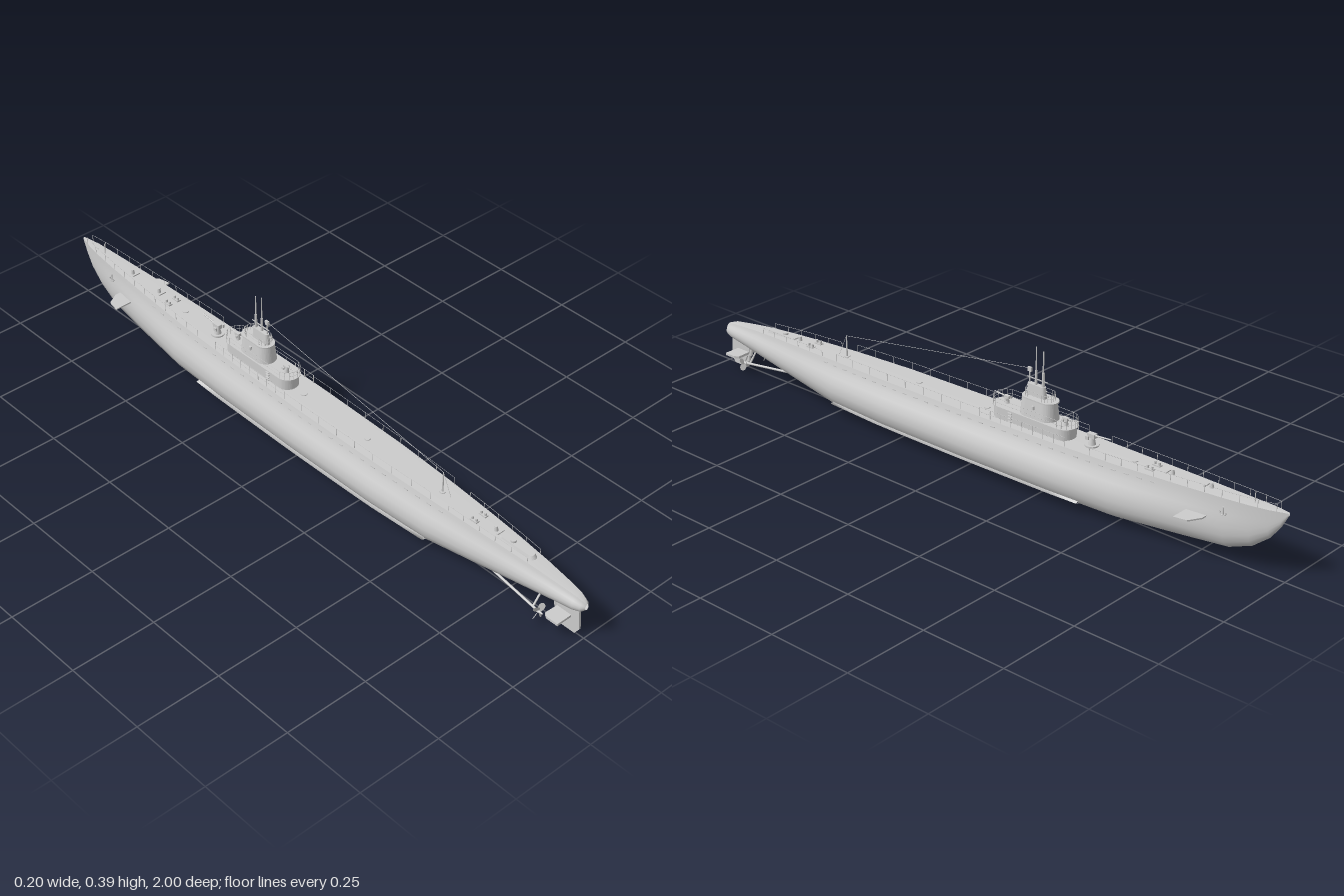
import * as THREE from 'three';
import { mergeGeometries } from 'three/addons/utils/BufferGeometryUtils.js';

const mat = new THREE.MeshStandardMaterial({ color: 0xcccccc, side: THREE.DoubleSide });
const V = (x, y, z) => new THREE.Vector3(x, y, z);

// Hull stations from bow to stern: z, keel height, deck height, half beam, half deck width
const stations = [
  [-1, .183, .19, .003, .003], [-.98, .145, .189, .008, .008], [-.95, .105, .187, .015, .015],
  [-.9, .065, .184, .023, .021], [-.83, .036, .181, .034, .027], [-.7, .023, .177, .052, .036],
  [-.5, .005, .171, .074, .047], [-.3, .004, .168, .083, .053], [0, .004, .164, .087, .056],
  [.3, .004, .16, .084, .053], [.5, .007, .156, .073, .045], [.65, .03, .151, .058, .037],
  [.75, .046, .147, .048, .03], [.85, .062, .141, .038, .022], [.92, .073, .134, .03, .016],
  [.97, .079, .128, .023, .011], [.99, .085, .121, .017, .007], [1, .095, .113, .006, .002]];
const lower = [[0, 0], [.42, .06], [.78, .16], [.94, .3], [1, .45]];         // beam share, height share
const upper = [[.15, .6], [.45, .72], [.72, .82], [.88, .91], [1, 1]];       // blend to deck width, height share

function station(z) {
  let i = 1;
  while (i < stations.length - 1 && stations[i][0] < z) i++;
  const a = stations[i - 1], b = stations[i], t = (z - a[0]) / (b[0] - a[0]);
  return a.map((v, k) => v + (b[k] - v) * t);
}
const deckY = z => station(z)[2];
const deckW = z => station(z)[4];

// Surface through rows of points
function loft(rows) {
  const n = rows[0].length, idx = [];
  for (let j = 0; j < rows.length - 1; j++) for (let i = 0; i < n - 1; i++) {
    const a = j * n + i;
    idx.push(a, a + n, a + 1, a + 1, a + n, a + n + 1);
  }
  const g = new THREE.BufferGeometry().setFromPoints(rows.flat());
  g.setIndex(idx);
  g.computeVertexNormals();
  return g;
}

function rodGeo(a, b, r = .001, r2 = r, sides = 5) {
  const d = b.clone().sub(a);
  const g = new THREE.CylinderGeometry(r2, r, d.length(), sides);
  g.applyQuaternion(new THREE.Quaternion().setFromUnitVectors(V(0, 1, 0), d.normalize()));
  return g.translate((a.x + b.x) / 2, (a.y + b.y) / 2, (a.z + b.z) / 2);
}

// Outline with round ends, shape y is -z
function stadium(hw, z0, z1) {
  const s = new THREE.Shape();
  s.absarc(0, -(z0 + hw), hw, 0, Math.PI);
  s.absarc(0, -(z1 - hw), hw, Math.PI, Math.PI * 2);
  s.closePath();
  return s;
}

export function createModel() {
  const group = new THREE.Group();
  const add = (name, geo) => {
    const m = new THREE.Mesh(geo, mat);
    m.name = name;
    group.add(m);
    return m;
  };
  const rod = (name, a, b, r, r2, sides) => add(name, rodGeo(a, b, r, r2, sides));
  const box = (name, w, h, d, x, y, z) => add(name, new THREE.BoxGeometry(w, h, d).translate(x, y, z));
  const drum = (name, r, h, x, y, z, r2 = r) => add(name, new THREE.CylinderGeometry(r2, r, h, 16).translate(x, y, z));

  // Hull skin and deck
  add('hull', loft(stations.map(([z, k, y, w, d]) => {
    const half = [...lower.map(([u, v]) => [u * w, v]), ...upper.map(([f, v]) => [w + (d - w) * f, v])]
      .map(([x, v]) => [x, k + (y - k) * v]);
    return [...half.slice().reverse().map(p => V(p[0], p[1], z)), ...half.slice(1).map(p => V(-p[0], p[1], z))];
  })));
  add('deck', loft(stations.map(([z, , y, , d]) => [V(-d, y, z), V(0, y + .001, z), V(d, y, z)])));

  // Tower blocks, each with an optional taper
  function block(name, hw, z0, z1, y0, y1, taper = 1) {
    const g = new THREE.ExtrudeGeometry(stadium(hw, z0, z1), { depth: y1 - y0, bevelEnabled: false, curveSegments: 12 });
    g.rotateX(-Math.PI / 2).translate(0, y0, 0);
    const p = g.attributes.position, zc = (z0 + z1) / 2;
    for (let i = 0; i < p.count; i++) if (p.getY(i) > (y0 + y1) / 2) {
      p.setX(i, p.getX(i) * taper);
      p.setZ(i, zc + (p.getZ(i) - zc) * (taper + 1) / 2);
    }
    g.computeVertexNormals();
    return add(name, g);
  }
  block('towerBase', .032, -.33, -.065, .16, .198);
  block('gunPlatform', .035, -.335, -.06, .198, .201);
  block('tower', .031, -.272, -.155, .2, .252, .82);
  block('bridgeRim', .027, -.272, -.16, .249, .253);
  block('periscopeHousing', .009, -.235, -.17, .25, .285, .8);

  // Guard rails: posts and wires along a path of points
  function rail(name, pts, h, wires = 2, every = 1) {
    const parts = [];
    const up = (p, t) => V(p.x, p.y + h * t, p.z);
    pts.forEach((p, i) => {
      if (i % every === 0) parts.push(rodGeo(p, up(p, 1), .0008));
      if (i) for (let k = 1; k <= wires; k++) parts.push(rodGeo(up(pts[i - 1], k / wires), up(p, k / wires), .0006, .0006, 4));
    });
    add(name, mergeGeometries(parts));
  }
  const ring = (hw, z0, z1, y) => stadium(hw, z0, z1).getPoints(8).map(p => V(p.x, y, -p.y));
  const closed = pts => [...pts, pts[0]];
  rail('platformRail', closed(ring(.034, -.333, -.062, .2)), .024, 2, 2);
  rail('bridgeRail', closed(ring(.022, -.26, -.17, .252)), .02, 2, 2);
  for (const s of [1, -1]) {
    const along = (z0, z1, n) => Array.from({ length: n + 1 }, (_, i) => {
      const z = z0 + (z1 - z0) * i / n;
      return V(s * deckW(z) * .95, deckY(z), z);
    });
    rail('foredeckRail', along(-.97, -.42, 11), .02, 1);
    rail('towerSideRail', along(-.34, -.05, 8), .026);
    rail('afterdeckRail', along(-.05, .5, 8), .022, 1);
    rail('sternRail', along(.56, .82, 5), .016, 1);
  }

  // Periscopes, radar mast and aerial
  for (const [z, h] of [[-.2, .392], [-.224, .385]]) {
    rod('periscopeTube', V(0, .25, z), V(0, .325, z), .0045, .0035, 10);
    rod('periscope', V(0, .32, z), V(0, h, z), .0022, .0015, 8);
  }
  rod('radarMast', V(0, .25, -.178), V(0, .33, -.178), .002);
  box('radarAerial', .006, .012, .012, 0, .322, -.178);
  for (const y of [.275, .3]) rod('mastBrace', V(0, y, -.17), V(0, y, -.24), .0015);
  rod('aerialPost', V(0, .155, .5), V(0, .22, .5), .0028, .0015);
  rod('aerialWire', V(0, .325, -.178), V(0, .22, .5), .0006);
  rod('aerialStay', V(0, .22, .5), V(0, .156, .53), .0006);
  rod('flagStaff', V(0, .184, -.9), V(0, .217, -.9), .0013);

  // Guns: pedestal, cradle, barrel; dir is -1 for forward
  function gun(name, y, z, dir, size) {
    drum(name + 'Pedestal', .011 * size, .022 * size, 0, y + .011 * size, z, .006 * size);
    box(name + 'Cradle', .014 * size, .012 * size, .024 * size, 0, y + .026 * size, z);
    rod(name + 'Barrel', V(0, y + .027 * size, z), V(0, y + .033 * size, z + dir * .062 * size), .003 * size, .0018 * size, 8);
    for (const s of [1, -1]) box(name + 'Seat', .005 * size, .01 * size, .01 * size, s * .013 * size, y + .022 * size, z - dir * .006 * size);
  }
  drum('deckGunMount', .019, .006, 0, deckY(-.39) + .002, -.39);
  gun('deckGun', deckY(-.39) + .004, -.39, -1, 1);
  gun('forwardGun', .2, -.302, -1, .7);
  gun('aftGun', .2, -.1, 1, .7);

  // Deck gear: hatches, capstans, winches and stern casing
  for (const z of [-.53, -.03, .22, .5]) drum('deckHatch', .009, .004, 0, deckY(z) + .001, z);
  for (const [z, x] of [[-.59, .015], [-.59, -.015], [.63, .016], [.63, -.016]]) {
    box('bollardBase', .012, .004, .024, x, deckY(z) + .002, z);
    for (const e of [-.007, .007]) drum('bollard', .0035, .012, x, deckY(z) + .006, z + e);
  }
  for (const z of [-.65, -.77, .69]) {
    drum('capstan', .006, .014, 0, deckY(z) + .007, z, .004);
    box('cleat', .024, .003, .005, 0, deckY(z) + .004, z + .015);
  }
  block('sternCasing', .014, .7, .83, .138, .153, .7);
  drum('escapeHatch', .008, .007, 0, .155, .75);

  // Parts on both sides
  for (const s of [1, -1]) {
    // Bow and stern diving planes as flat extruded outlines in x and z
    const plane = (name, pts, y, t) => {
      const shape = new THREE.Shape(pts.map(([x, z]) => new THREE.Vector2(s * x, -z)));
      add(name, new THREE.ExtrudeGeometry(shape, { depth: t, bevelEnabled: false }).rotateX(-Math.PI / 2).translate(0, y - t / 2, 0));
    };
    plane('bowPlane', [[.02, -.785], [.055, -.785], [.09, -.765], [.098, -.727], [.03, -.727]], .121, .004);
    plane('sternPlane', [[0, .91], [.045, .908], [.053, .92], [.053, .957], [0, .957]], .047, .007);

    // Bilge keel following the hull side
    add('bilgeKeel', loft(Array.from({ length: 11 }, (_, i) => {
      const z = -.4 + i * .09, [, k, y, w] = station(z), h = k + (y - k) * .18;
      return [V(s * w * .76, h + .005, z), V(s * (w * .8 + .011), h, z), V(s * w * .74, h - .006, z)];
    })));

    // Propeller, shaft and bracket
    const px = s * .043, py = .037, pz = .885;
    rod('propellerShaft', V(s * .03, .058, .68), V(px, py, pz), .0035, .0035, 8);
    rod('shaftBracket', V(px, py, pz - .02), V(s * .012, .075, pz - .02), .003);
    rod('propellerHub', V(px, py, pz - .01), V(px, py, pz + .014), .0055, .002, 10);
    for (let i = 0; i < 4; i++) {
      const blade = add('propellerBlade', new THREE.CircleGeometry(.011, 12));
      blade.geometry.scale(.85, 1, 1).rotateY(s * .6).translate(0, .0135, 0).rotateZ(i * Math.PI / 2 + .6);
      blade.position.set(px, py, pz);
    }

    // Anchor and its recess rim on the bow
    const az = -.83, ax = s * (station(az)[3] - .002);
    rod('anchorShank', V(ax, .16, az), V(ax, .138, az), .002);
    add('anchorArms', new THREE.TorusGeometry(.009, .002, 6, 12, Math.PI).rotateZ(Math.PI).rotateY(Math.PI / 2).translate(ax, .146, az));

    // Flooding slots along the casing
    for (let i = 0; i < 30; i++) {
      const z = -.62 + i * .04, [, k, y, w, d] = station(z);
      box('casingSlot', .002, .003, .014, s * (w + (d - w) * .88), k + (y - k) * .91, z);
    }

    // Bridge side lamp and tower steps
    drum('sideLamp', .004, .01, s * .029, .232, -.215);
    for (let i = 0; i < 4; i++) box('towerStep', .006, .002, .012, s * .034, .17 + i * .008, -.14);
  }

  // Rudder with a tapered foot
  const r = new THREE.Shape([[-.905, .085], [-.91, .018], [-.92, 0], [-.972, 0], [-.985, .02], [-.98, .09]].map(p => new THREE.Vector2(...p)));
  add('rudder', new THREE.ExtrudeGeometry(r, { depth: .007, bevelEnabled: false }).translate(0, 0, -.0035).rotateY(Math.PI / 2));
  rod('skegPost', V(0, .085, .895), V(0, .04, .905), .005);

  return group;
}
